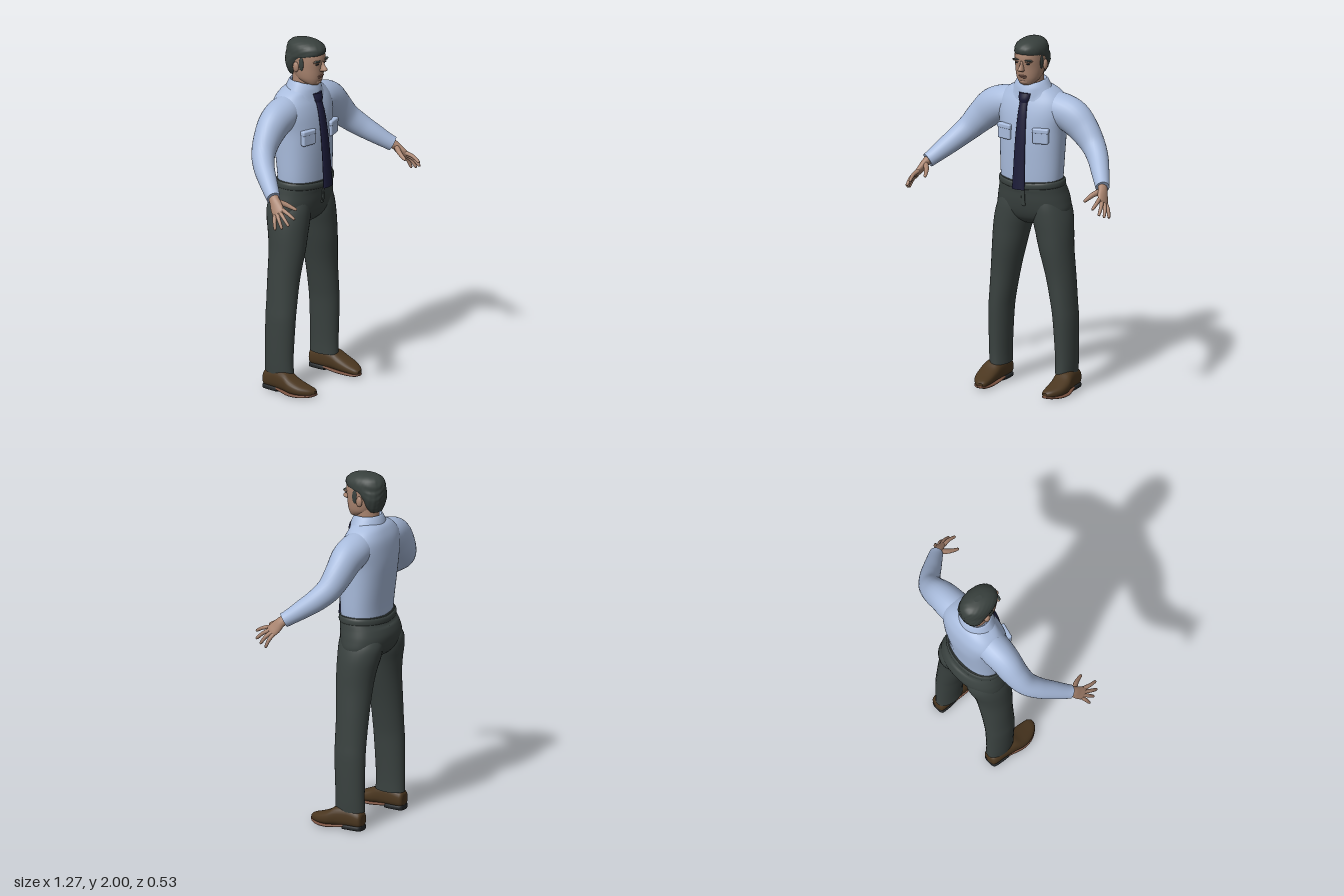
import * as THREE from 'three';
import { RoundedBoxGeometry } from 'three/addons/geometries/RoundedBoxGeometry.js';

const V = (x, y, z) => new THREE.Vector3(x, y, z);
const paint = (name, color, side = THREE.FrontSide) => {
  const m = new THREE.MeshStandardMaterial({ color, side });
  m.name = name;
  return m;
};

// Smoothly adds rows between the given rows of numbers
function refine(rows, steps) {
  const at = i => rows[Math.min(Math.max(i, 0), rows.length - 1)];
  const out = [];
  for (let i = 0; i < rows.length - 1; i++) {
    for (let s = 0; s < steps; s++) {
      const t = s / steps;
      out.push(rows[i].map((b, k) => {
        const a = at(i - 1)[k], c = at(i + 1)[k], d = at(i + 2)[k];
        return b + 0.5 * t * (c - a + t * (2 * a - 5 * b + 4 * c - d + t * (3 * (b - c) + d - a)));
      }));
    }
  }
  out.push(rows[rows.length - 1]);
  return out;
}

// Skins a list of sections { c, u, v }: centre and two half axes, u x v pointing along the list
function skin(sections, { n = 28, power = 1, warp, caps = true } = {}) {
  const pos = [], idx = [];
  const soft = a => Math.sign(a) * Math.abs(a) ** power;
  const ring = ({ c, u, v }) => {
    for (let j = 0; j < n; j++) {
      const a = (j / n) * Math.PI * 2;
      const p = c.clone().addScaledVector(u, soft(Math.cos(a))).addScaledVector(v, soft(Math.sin(a)));
      if (warp) warp(p);
      pos.push(p.x, p.y, p.z);
    }
  };
  sections.forEach(ring);
  for (let i = 0; i < sections.length - 1; i++) {
    for (let j = 0; j < n; j++) {
      const a = i * n + j, b = i * n + (j + 1) % n;
      idx.push(a, b, b + n, a, b + n, a + n);
    }
  }
  if (caps) [0, sections.length - 1].forEach((s, end) => {
    const start = pos.length / 3;
    ring(sections[s]);
    const p = sections[s].c.clone();
    if (warp) warp(p);
    pos.push(p.x, p.y, p.z);
    for (let j = 0; j < n; j++) {
      const a = start + j, b = start + (j + 1) % n;
      idx.push(start + n, ...(end ? [a, b] : [b, a]));
    }
  });
  const g = new THREE.BufferGeometry();
  g.setAttribute('position', new THREE.Float32BufferAttribute(pos, 3));
  g.setIndex(idx);
  g.computeVertexNormals();
  return g;
}

// Level sections, rows of [y, x, z, halfWidth, halfDepth] going up
const column = (rows, o = {}) => skin(refine(rows, o.steps ?? 4).map(([y, x, z, rx, rz]) =>
  ({ c: V(x, y, z), u: V(rx, 0, 0), v: V(0, 0, -rz) })), o);

// Upright sections, rows of [z, x, y, halfWidth, halfHeight] going forward
const along = (rows, o = {}) => skin(refine(rows, 4).map(([z, x, y, rx, ry]) =>
  ({ c: V(x, y, z), u: V(rx, 0, 0), v: V(0, ry, 0) })), o);

// Limb along a path, rows of [x, y, z, radius along hint, other radius]
function limb(rows, hint, o = {}) {
  const r = refine(rows, o.steps ?? 5), pts = r.map(q => V(q[0], q[1], q[2]));
  return skin(r.map((q, i) => {
    const t = pts[Math.min(i + 1, r.length - 1)].clone().sub(pts[Math.max(i - 1, 0)]).normalize();
    const u = hint.clone().addScaledVector(t, -hint.dot(t)).normalize();
    const v = t.clone().cross(u);
    return { c: pts[i], u: u.multiplyScalar(q[3]), v: v.multiplyScalar(q[4]) };
  }), o);
}

export function createModel() {
  const model = new THREE.Group();
  const shirt = paint('shirt blue', 0xa9bcdd, THREE.DoubleSide);
  const cloth = paint('trouser grey', 0x3a4240);
  const hairMat = paint('hair grey', 0x38403d);
  const flesh = paint('skin', 0xaa8570);
  const lip = paint('lip', 0x8a6252);
  const leather = paint('shoe brown', 0x4b3720);
  const soleMat = paint('sole brown', 0x7a5240);
  const navy = paint('tie navy', 0x1b1b38);
  const dark = paint('heel dark', 0x25282a);

  const add = (name, geo, mat) => {
    const m = new THREE.Mesh(geo, mat);
    m.name = name;
    model.add(m);
  };
  // Adds a part on the left and its mirror image on the right
  const pair = (name, geo, mat) => {
    const g = geo.clone().scale(-1, 1, 1);
    if (!g.index) g.setIndex([...Array(g.attributes.position.count).keys()]);
    const a = g.index.array;
    for (let i = 0; i < a.length; i += 3) [a[i], a[i + 1]] = [a[i + 1], a[i]];
    g.normalizeNormals();
    const n = g.attributes.normal, p = geo.attributes.normal;
    for (let i = 0; i < n.count; i++) n.setXYZ(i, -p.getX(i), p.getY(i), p.getZ(i));
    add('left ' + name, geo, mat);
    add('right ' + name, g, mat);
  };
  const ball = (x, y, z, rx, ry, rz) => new THREE.SphereGeometry(1, 16, 12).scale(rx, ry, rz).translate(x, y, z);

  // Shirt
  add('shirt torso', column([
    [1.16, 0, -.095, .176, .115], [1.25, 0, -.095, .182, .12], [1.4, 0, -.103, .187, .132],
    [1.5, 0, -.11, .192, .136], [1.58, 0, -.115, .205, .13], [1.64, 0, -.12, .2, .118],
    [1.685, 0, -.122, .168, .1], [1.715, 0, -.118, .125, .085], [1.74, 0, -.11, .07, .06],
  ], { n: 48, power: .85 }), shirt);
  pair('sleeve', limb([
    [.08, 1.615, -.12, .085, .085], [.17, 1.598, -.12, .096, .092], [.25, 1.565, -.117, .1, .085],
    [.32, 1.502, -.112, .088, .075], [.385, 1.432, -.092, .072, .066], [.44, 1.375, -.045, .063, .058],
    [.49, 1.322, .02, .053, .05], [.53, 1.28, .075, .044, .042], [.548, 1.263, .1, .042, .038],
  ], V(0, 1, 0)), shirt);
  // Folded collar, dipping toward the front with two points
  add('collar', column([
    [1.7, 0, -.1, .122, .1], [1.735, 0, -.1, .102, .092], [1.768, 0, -.1, .08, .076], [1.745, 0, -.1, .068, .068],
  ], {
    n: 64, caps: false, steps: 3, warp: p => {
      const front = Math.max(0, p.z + .08);
      p.y -= front * .3 + (p.y < 1.73 ? front * .35 * Math.exp(-(((Math.abs(p.x) - .055) / .03) ** 2)) : 0);
    },
  }), shirt);
  pair('pocket', new RoundedBoxGeometry(.09, .08, .03, 3, .01).rotateY(.22).translate(.112, 1.468, .013), shirt);
  pair('pocket flap', new RoundedBoxGeometry(.094, .028, .034, 2, .008).rotateY(.22).translate(.112, 1.502, .013), shirt);

  // Tie
  add('tie', column([
    [1.165, 0, .064, .04, .012], [1.3, 0, .055, .036, .011], [1.45, 0, .042, .032, .011],
    [1.58, 0, .022, .027, .012], [1.655, 0, .001, .023, .013],
  ], { n: 16 }), navy);
  add('tie knot', column([
    [1.645, 0, .002, .022, .014], [1.67, 0, -.002, .032, .02], [1.7, 0, -.012, .036, .02],
  ], { n: 16 }), navy);

  // Trousers
  add('trouser seat', column([
    [.945, 0, -.11, .06, .06], [.975, 0, -.115, .16, .1], [1.02, 0, -.12, .213, .127], [1.08, 0, -.12, .21, .141],
    [1.13, 0, -.112, .199, .138], [1.17, 0, -.1, .19, .13], [1.205, 0, -.096, .184, .127],
  ], { n: 48, power: .9, warp: p => { if (p.y > 1.15) p.y += Math.abs(p.x) * .08 - .012; } }), cloth);
  add('waistband', column([
    [1.163, 0, -.1, .188, .127], [1.173, 0, -.098, .193, .134], [1.195, 0, -.097, .191, .133], [1.207, 0, -.096, .18, .122],
  ], { n: 48, power: .9, warp: p => { p.y += Math.abs(p.x) * .08 - .012; } }), cloth);
  add('fly', new RoundedBoxGeometry(.022, .11, .012, 2, .005).rotateX(.08).translate(.008, 1.115, .024), cloth);
  pair('trouser leg', column([
    [.105, .205, -.115, .055, .09], [.2, .207, -.115, .058, .088], [.4, .202, -.111, .066, .092],
    [.5, .192, -.11, .07, .093], [.65, .172, -.11, .081, .096], [.8, .147, -.106, .095, .106],
    [.9, .132, -.111, .105, .115], [.98, .117, -.119, .111, .126], [1.05, .108, -.122, .1, .128], [1.12, .1, -.11, .075, .105],
  ], { n: 32 }), cloth);

  // Shoes
  pair('shoe', along([
    [-.203, .212, .06, .025, .03], [-.19, .213, .062, .043, .047], [-.12, .215, .072, .05, .06],
    [-.05, .222, .068, .055, .056], [0, .227, .052, .058, .043], [.06, .223, .04, .053, .03],
    [.11, .21, .033, .035, .02], [.13, .203, .03, .014, .01],
  ], { power: .8, warp: p => { p.y = Math.max(p.y, .014); } }), leather);
  pair('sole', along([
    [-.1, .217, .022, .047, .009], [-.05, .222, .015, .054, .009], [0, .227, .01, .058, .009],
    [.06, .223, .01, .054, .009], [.11, .21, .014, .036, .009], [.133, .203, .02, .014, .007],
  ], { power: .7 }), soleMat);
  pair('heel', along([
    [-.203, .212, .016, .026, .015], [-.19, .213, .016, .043, .016], [-.13, .215, .016, .048, .016], [-.095, .217, .016, .047, .016],
  ], { power: .6 }), dark);

  // Hands
  const across = V(-.02, .035, .037).normalize();
  pair('palm', limb([
    [.535, 1.276, .08, .03, .026], [.556, 1.252, .113, .03, .022], [.57, 1.222, .138, .037, .019],
    [.583, 1.2, .158, .036, .014], [.587, 1.192, .165, .028, .009],
  ], across), flesh);
  [[.568, 1.218, .174, .573, 1.183, .258], [.58, 1.205, .168, .602, 1.15, .24],
    [.588, 1.194, .156, .616, 1.132, .206], [.592, 1.184, .142, .625, 1.12, .168]].forEach(([a, b, c, d, e, f], i) =>
    pair('finger ' + (i + 1), limb([
      [a, b, c, .012, .012], [(a + d) / 2 + .005, (b + e) / 2 + .006, (c + f) / 2, .0105, .0105],
      [d, e, f, .008, .008], [d, e - .003, f + .004, .002, .002],
    ], across, { n: 10, steps: 3 }), flesh));
  pair('thumb', limb([
    [.553, 1.25, .12, .018, .015], [.525, 1.235, .158, .015, .014], [.51, 1.22, .19, .012, .011],
    [.501, 1.208, .218, .008, .008], [.5, 1.205, .223, .002, .002],
  ], V(0, 1, 0), { n: 12, steps: 3 }), flesh);

  // Head and face
  add('neck', column([[1.68, 0, -.105, .064, .07], [1.76, 0, -.1, .06, .064], [1.84, 0, -.1, .062, .07]]), flesh);
  add('head', column([
    [1.745, 0, -.025, .02, .02], [1.755, 0, -.037, .044, .04], [1.78, 0, -.06, .064, .073], [1.81, 0, -.07, .073, .088],
    [1.85, 0, -.078, .078, .1], [1.9, 0, -.08, .08, .109], [1.94, 0, -.085, .078, .105], [1.975, 0, -.085, .05, .07],
  ], { n: 36, power: .93 }), flesh);
  add('nose', column([
    [1.829, 0, .02, .009, .012], [1.837, 0, .03, .017, .024], [1.846, 0, .034, .015, .025],
    [1.868, 0, .025, .009, .018], [1.89, 0, .02, .008, .012],
  ], { n: 16 }), flesh);
  pair('ear', ball(.083, 1.853, -.095, .012, .03, .019).rotateZ(0), flesh);
  pair('brow ridge', ball(.033, 1.891, .014, .03, .009, .015), flesh);
  pair('eyebrow', ball(.036, 1.895, .018, .025, .0045, .014), hairMat);
  pair('eye', ball(.033, 1.876, .016, .014, .005, .007), dark);
  add('upper lip', ball(0, 1.803, .016, .026, .005, .007), lip);
  add('lower lip', ball(0, 1.794, .013, .022, .005, .007), lip);
  add('chin', ball(0, 1.767, -.006, .028, .016, .018), flesh);

  // Hair, short at the nape and slightly ruffled
  add('hair', column([
    [1.79, 0, -.153, .045, .03], [1.82, 0, -.147, .066, .045], [1.865, 0, -.142, .082, .06], [1.9, 0, -.12, .085, .083],
    [1.92, 0, -.092, .086, .112], [1.95, 0, -.085, .083, .116], [1.975, 0, -.087, .07, .1], [1.992, 0, -.09, .045, .068],
    [1.999, 0, -.09, .015, .025],
  ], {
    n: 48, power: .95, warp: p => {
      const k = 1 + .018 * Math.sin(p.x * 160 + p.y * 110) * Math.sin(p.z * 140 - p.y * 90);
      p.x *= k;
      p.z = -.09 + (p.z + .09) * k;
    },
  }), hairMat);
  pair('sideburn', ball(.077, 1.875, -.062, .007, .04, .016), hairMat);

  return model;
}
